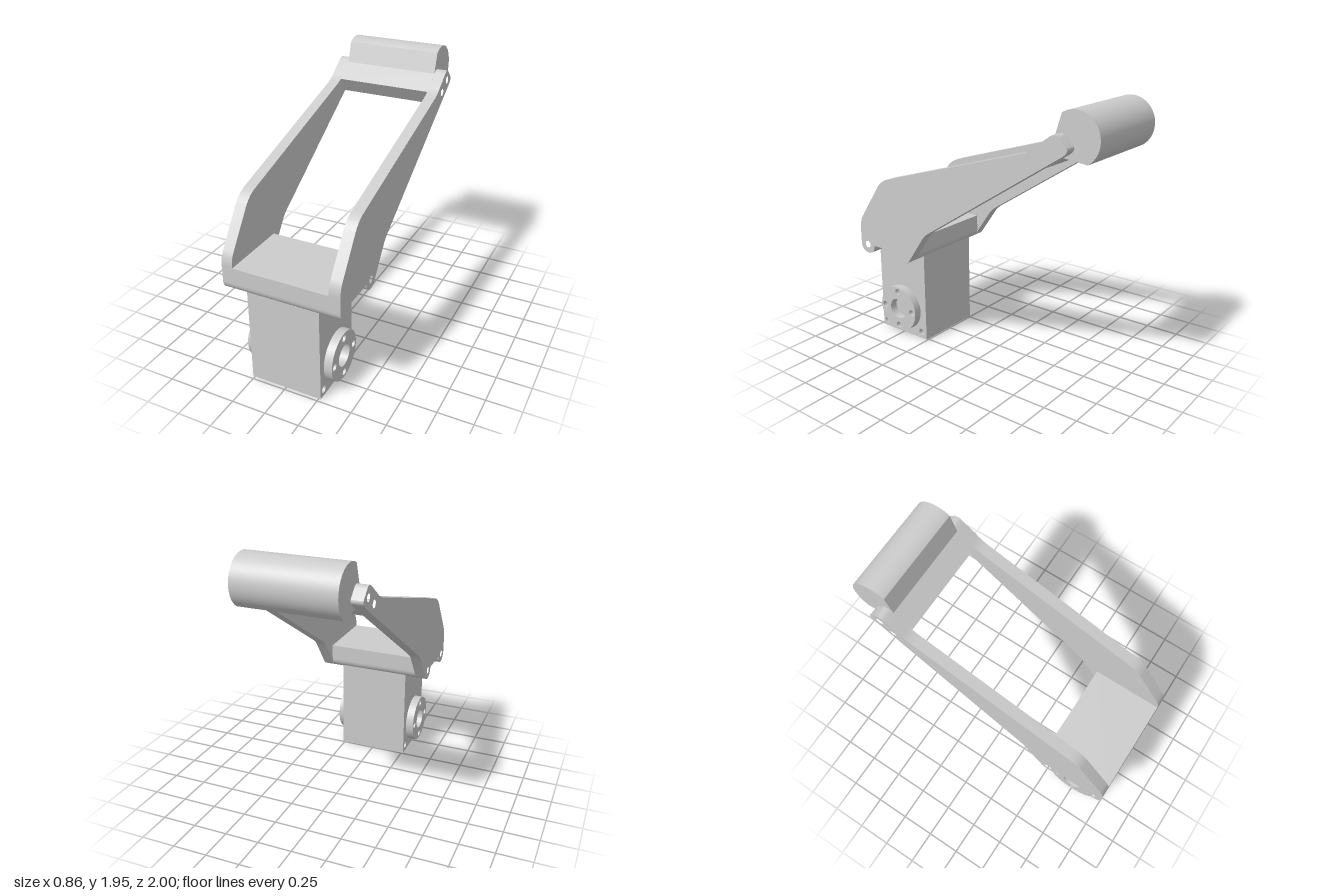
import * as THREE from 'three';
import { toCreasedNormals } from 'three/addons/utils/BufferGeometryUtils.js';

const material = new THREE.MeshStandardMaterial({ color: 0xcccccc });

// Side profiles are drawn as (z, y) and extruded across x from x0 to x1.
function across(name, shape, x0, x1, holes = [], holeRadius = 0.026) {
  for (const [z, y, r = holeRadius] of holes) {
    shape.holes.push(new THREE.Path().absarc(z, y, r, 0, Math.PI * 2, true));
  }
  const geo = new THREE.ExtrudeGeometry(shape, { depth: x1 - x0, bevelEnabled: false, curveSegments: 24 });
  geo.rotateY(-Math.PI / 2).translate(x1, 0, 0);
  const mesh = new THREE.Mesh(toCreasedNormals(geo, 0.5), material);
  mesh.name = name;
  return mesh;
}

const pivots = [[0.93, 0.75], [0.56, 0.75]];
const tipHoles = [[-0.745, 1.73], [-0.65, 1.663]];
const EAR = 0.07;

// Long bent arm plate with two ears below and a rounded tip
function armShape() {
  const s = new THREE.Shape();
  s.moveTo(0.86, 0.75);
  s.lineTo(0.63, 0.75);
  s.absarc(0.56, 0.75, EAR, 0, -2.55, true);
  s.lineTo(0.36, 0.915);
  s.quadraticCurveTo(0.335, 0.947, 0.29, 0.975);
  s.lineTo(-0.795, 1.682);
  s.quadraticCurveTo(-0.84, 1.715, -0.815, 1.74);
  s.lineTo(-0.765, 1.79);
  s.quadraticCurveTo(-0.735, 1.818, -0.695, 1.788);
  s.lineTo(-0.59, 1.71);
  s.quadraticCurveTo(-0.55, 1.677, -0.50, 1.66);
  s.lineTo(0.69, 1.298);
  s.quadraticCurveTo(0.755, 1.275, 0.795, 1.222);
  s.lineTo(0.97, 0.97);
  s.quadraticCurveTo(1, 0.925, 1, 0.87);
  s.lineTo(1, 0.75);
  s.absarc(0.93, 0.75, EAR, 0, -Math.PI, true);
  return s;
}

// Flat platform joining the arms, with the same two ears
function platformShape() {
  const s = new THREE.Shape();
  s.moveTo(1, 0.865);
  s.lineTo(1, 0.75);
  s.absarc(0.93, 0.75, EAR, 0, -Math.PI, true);
  s.lineTo(0.63, 0.75);
  s.absarc(0.56, 0.75, EAR, 0, -Math.PI, true);
  s.lineTo(0.49, 0.865);
  return s;
}

// Motor body, notched at the top to seat the ears
function bodyShape() {
  const s = new THREE.Shape();
  s.moveTo(0.51, 0);
  s.lineTo(0.975, 0);
  s.lineTo(0.975, 0.696);
  s.absarc(0.93, 0.75, EAR, -0.876, -Math.PI, true);
  s.lineTo(0.63, 0.75);
  s.absarc(0.56, 0.75, EAR, 0, -2.366, true);
  return s;
}

// Crossbar at the arm tip merging into a partly round end pad
function endPadShape() {
  const s = new THREE.Shape();
  const c = [-0.825, 1.78];
  s.moveTo(-0.63, 1.573);
  s.lineTo(-0.555, 1.683);
  s.lineTo(-0.685, 1.782);
  s.lineTo(-0.73, 1.927);
  s.absarc(c[0], c[1], 0.175, 0.997, 4.14, false);
  s.lineTo(-0.75, 1.652);
  return s;
}

export function createModel() {
  const group = new THREE.Group();
  group.name = 'servoArm';

  group.add(across('motorBody', bodyShape(), -0.265, 0.265, [[0.93, 0.05], [0.56, 0.05]]));
  group.add(across('platform', platformShape(), -0.35, 0.35, pivots));
  group.add(across('endPad', endPadShape(), -0.35, 0.35, tipHoles));

  // Mirrored arm plates and drilled hub discs
  const hubZ = 0.745, hubY = 0.222;
  for (const [side, sign] of [['left', 1], ['right', -1]]) {
    const span = (a, b) => (sign > 0 ? [a, b] : [-b, -a]);
    group.add(across(side + 'Arm', armShape(), ...span(0.35, 0.43), [...pivots, ...tipHoles]));

    const disc = new THREE.Shape().absarc(hubZ, hubY, 0.18, 0, Math.PI * 2);
    const holes = [[hubZ, hubY, 0.08]];
    for (let i = 0; i < 4; i++) {
      const a = (i * Math.PI) / 2;
      holes.push([hubZ + 0.14 * Math.cos(a), hubY + 0.14 * Math.sin(a), 0.025]);
    }
    group.add(across(side + 'Hub', disc, ...span(0.265, 0.325), holes));
  }
  return group;
}
